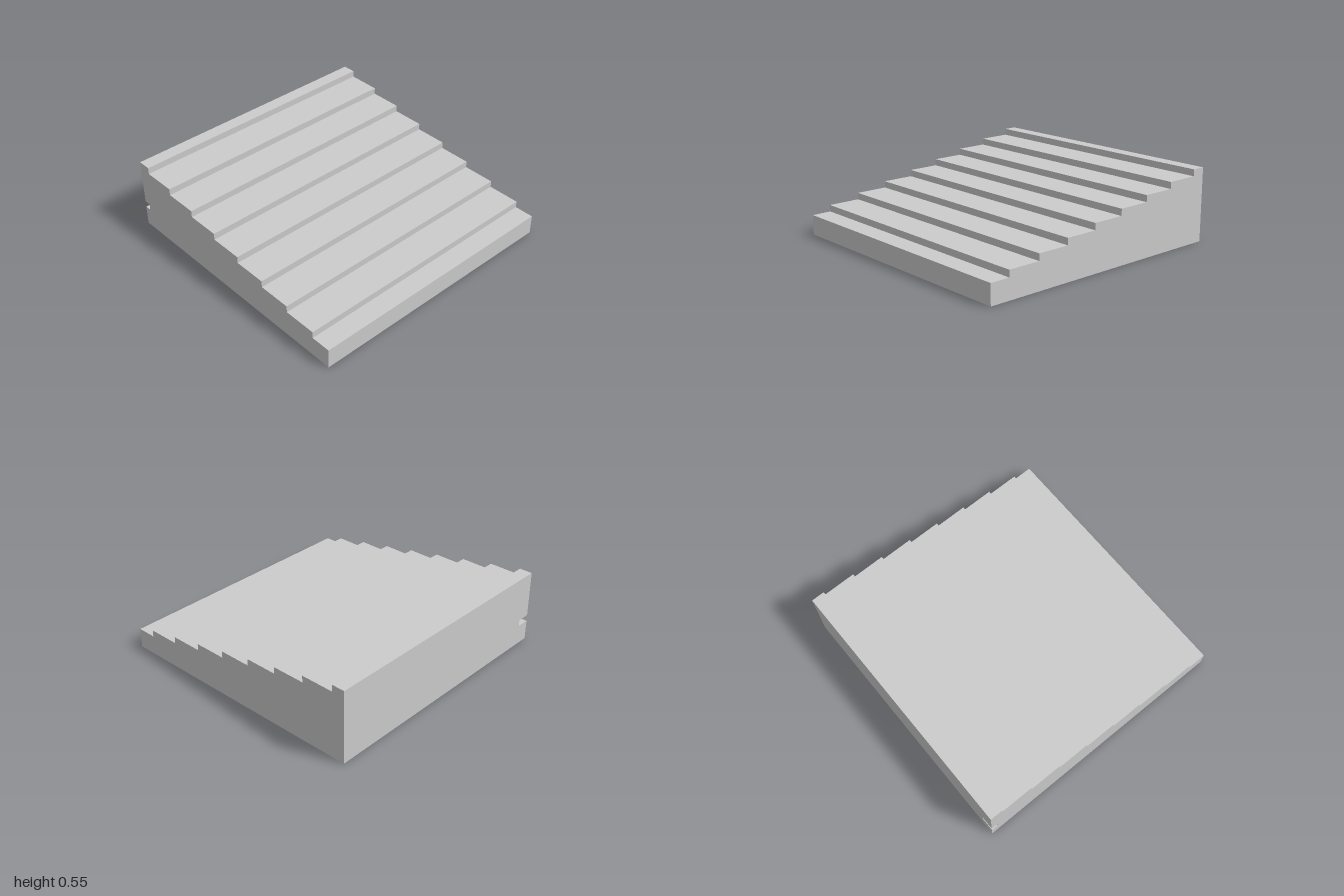
import * as THREE from 'three';

const STEPS = 9, RISE = 0.05, TREAD = 0.25, BASE = 0.15;

// Stepped side profile, drawn with u = -z so the front is at u = -1.
function stairProfile(notched) {
  const s = new THREE.Shape();
  s.moveTo(-1, 0);
  for (let i = 0; i < STEPS; i++) {
    const y = BASE + i * RISE;
    s.lineTo(i === 0 ? -1 : -0.85 + (i - 1) * TREAD, y);
    s.lineTo(i === STEPS - 1 ? 1 : -0.85 + i * TREAD, y);
  }
  if (notched) {
    // small square-cut slot in the back edge
    s.lineTo(1, 0.2);
    s.lineTo(0.95, 0.2);
    s.lineTo(0.95, 0.15);
    s.lineTo(1, 0.15);
  }
  s.lineTo(1, 0);
  s.closePath();
  return s;
}

// Extrudes a profile across the width from x0 to x1.
function slab(name, notched, x0, x1, material) {
  const g = new THREE.ExtrudeGeometry(stairProfile(notched), { depth: x1 - x0, bevelEnabled: false });
  g.rotateY(Math.PI / 2);
  g.translate(x0, 0, 0);
  const mesh = new THREE.Mesh(g, material);
  mesh.name = name;
  return mesh;
}

export function createModel() {
  const group = new THREE.Group();
  group.name = 'steps';
  const material = new THREE.MeshStandardMaterial({ color: 0xcccccc, flatShading: true });
  // Main flight, and the narrow end strip with the slot at the back right corner
  group.add(slab('stairFlight', false, -0.9, 1, material));
  group.add(slab('notchedEnd', true, -1, -0.9, material));
  return group;
}
